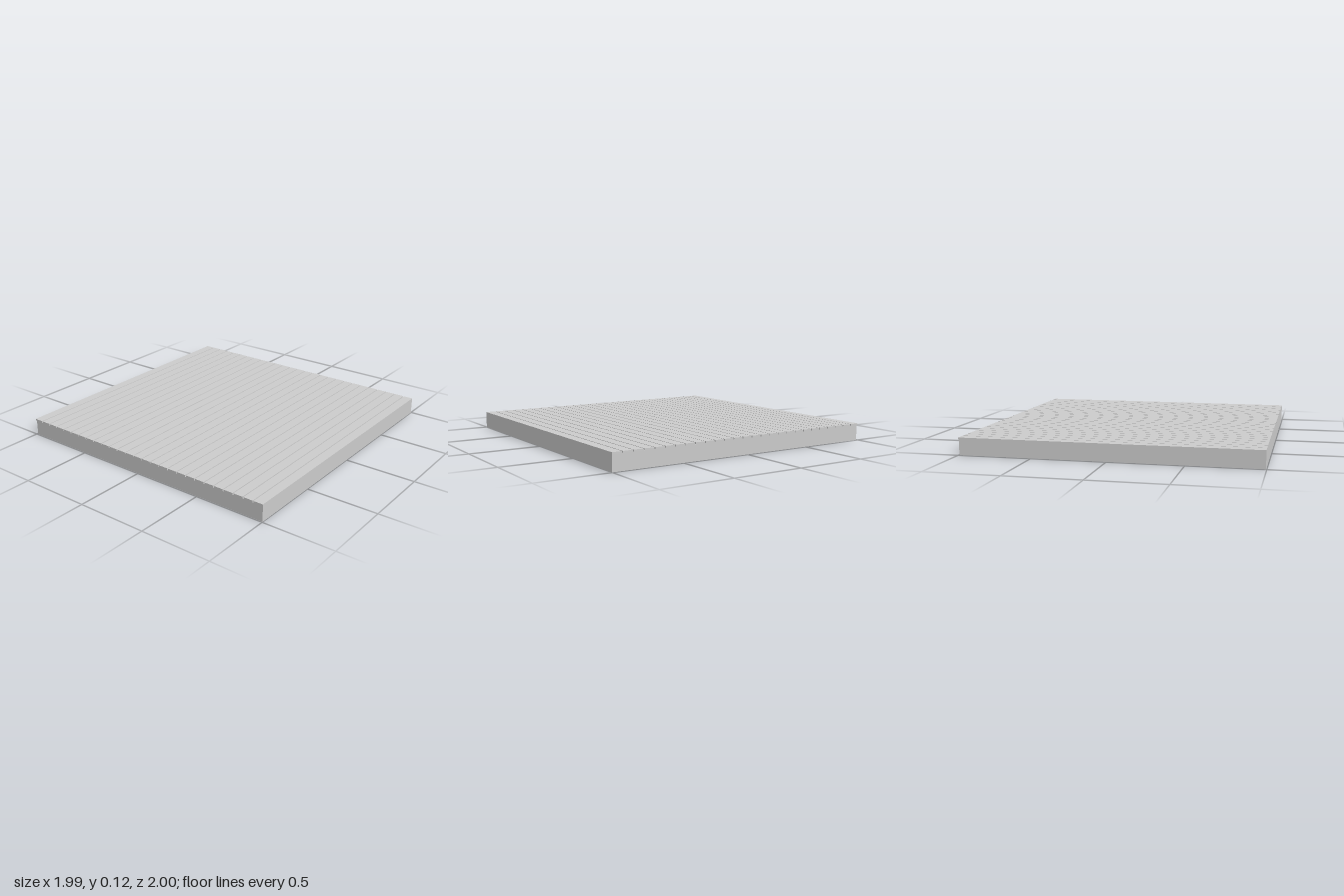
import * as THREE from 'three';

export function createModel() {
  const model = new THREE.Group();
  const material = new THREE.MeshStandardMaterial({ color: 0xcccccc });
  const width = 1.99;
  const baseHeight = 0.107;
  const plankHeight = 0.012;

  const addBox = (name, w, h, d, y, z) => {
    const mesh = new THREE.Mesh(new THREE.BoxGeometry(w, h, d), material);
    mesh.name = name;
    mesh.position.set(0, y + h / 2, z);
    model.add(mesh);
  };

  // Solid base, flush at the front and slightly short of the boards at the back
  addBox('base', width, baseHeight, 1.99, 0, 0.005);

  // Deck boards running left to right with narrow gaps
  const count = 27;
  const gap = 0.0065;
  const depth = (2 - gap * (count - 1)) / count;
  for (let i = 0; i < count; i++) {
    addBox(`deckBoard${i + 1}`, width, plankHeight, depth, baseHeight, -1 + depth / 2 + i * (depth + gap));
  }
  return model;
}
